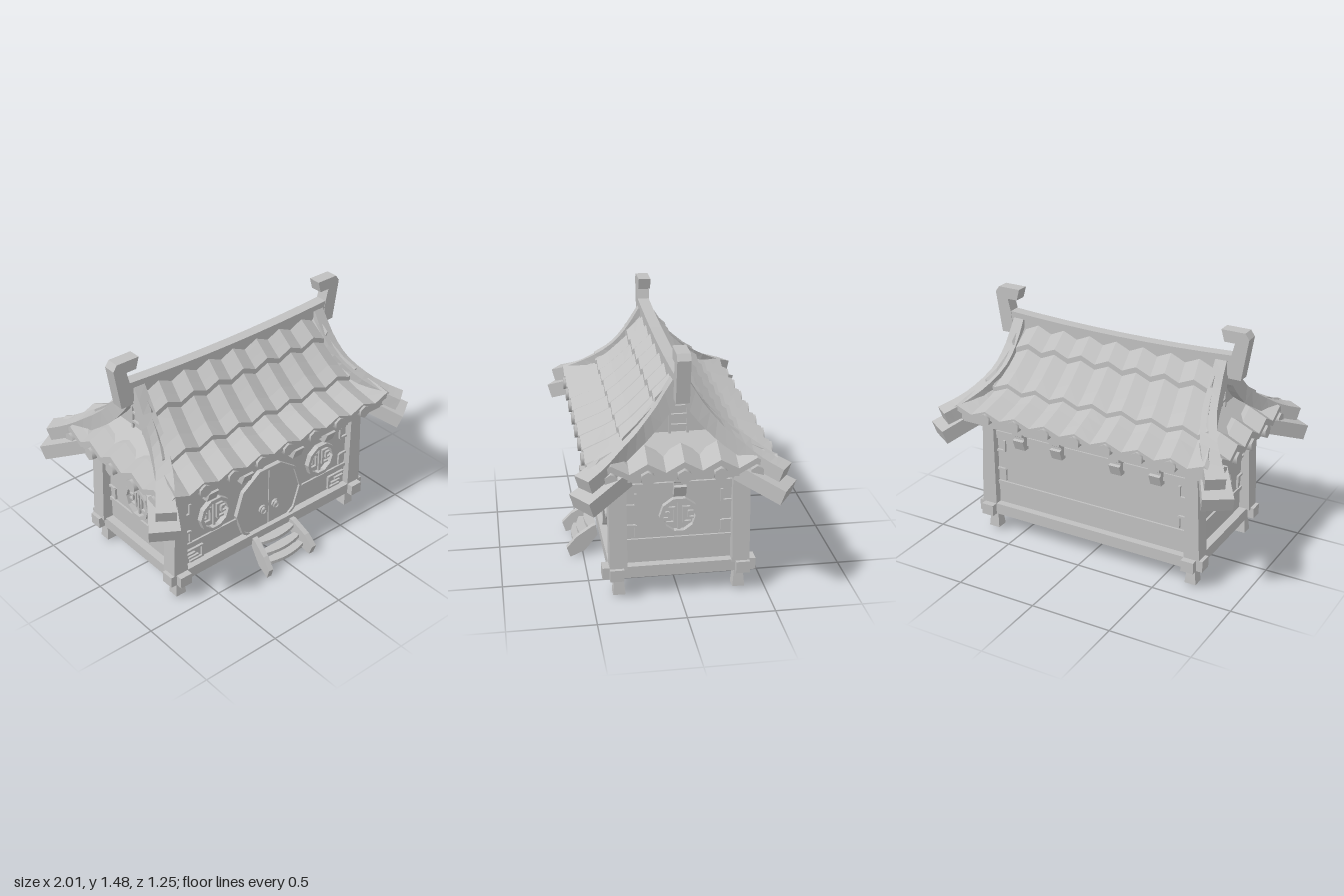
import * as THREE from 'three';

const gray = new THREE.MeshStandardMaterial({ color: 0xc0c0c0, side: THREE.DoubleSide });
gray.name = 'stone gray';

const V = (x, y, z) => new THREE.Vector3(x, y, z);
const lerp = THREE.MathUtils.lerp;

function add(parent, name, geometry, x = 0, y = 0, z = 0) {
  const mesh = new THREE.Mesh(geometry, gray);
  mesh.name = name;
  mesh.position.set(x, y, z);
  parent.add(mesh);
  return mesh;
}
const box = (parent, name, w, h, d, x, y, z) => add(parent, name, new THREE.BoxGeometry(w, h, d), x, y, z);

function group(parent, name, angle = 0) {
  const g = new THREE.Group();
  g.name = name;
  g.rotation.y = angle;
  parent.add(g);
  return g;
}

// Outline in x/y, extruded and centred on z
function prism(points, depth, holePoints) {
  const toV2 = (list) => list.map(([x, y]) => new THREE.Vector2(x, y));
  const shape = points instanceof THREE.Shape ? points : new THREE.Shape(toV2(points));
  if (holePoints) shape.holes.push(new THREE.Path(toV2(holePoints)));
  return new THREE.ExtrudeGeometry(shape, { depth, bevelEnabled: false, curveSegments: 8 }).translate(0, 0, -depth / 2);
}
const polygon = (r, n = 10) => Array.from({ length: n }, (_, i) => {
  const a = (i / n) * Math.PI * 2;
  return [r * Math.cos(a), r * Math.sin(a)];
});

// Faceted surface through rows of points
function grid(rows) {
  const n = rows[0].length, index = [];
  for (let i = 0; i < rows.length - 1; i++)
    for (let j = 0; j < n - 1; j++) {
      const a = i * n + j, b = a + n;
      index.push(a, b, b + 1, a, b + 1, a + 1);
    }
  const g = new THREE.BufferGeometry().setFromPoints(rows.flat());
  g.setIndex(index);
  const flat = g.toNonIndexed();
  flat.computeVertexNormals();
  return flat;
}

// Rectangular beam swept along a curve, growing from size a to size b
function sweep(points, [wa, ha], [wb, hb], steps) {
  const curve = new THREE.CatmullRomCurve3(points);
  const rows = [];
  for (let i = 0; i <= steps; i++) {
    const u = i / steps, p = curve.getPoint(u), t = curve.getTangent(u);
    const s = V(0, 1, 0).cross(t).normalize(), n = t.clone().cross(s);
    const w = lerp(wa, wb, u) / 2, h = lerp(ha, hb, u) / 2;
    rows.push([[-w, h], [w, h], [w, -h], [-w, -h], [-w, h]].map(([a, b]) =>
      p.clone().addScaledVector(s, a).addScaledVector(n, b)));
    if (i === 0 || i === steps) {
      const cap = Array(5).fill(p);
      if (i === 0) rows.unshift(cap); else rows.push(cap);
    }
  }
  return grid(rows);
}

// Overlapping rows of zigzag tiles; stops are [z, y] row borders on the slope
function tiles(parent, stops, pitch, count, limit, scale, amp) {
  const curve = new THREE.CatmullRomCurve3(stops.map(([z, y]) => V(0, y, z)));
  const n = stops.length - 1, steps = 3;
  for (let r = 0; r < n; r++) {
    const rows = [];
    for (let i = 0; i <= steps + 1; i++) {
      const u = Math.min(i / steps, 1), p = curve.getPoint((r + u) / n);
      const drop = i > steps ? 0.035 : 0, row = [];
      for (let k = -count; k <= count; k++) {
        const m = limit(p.z);
        const x = THREE.MathUtils.clamp(k * pitch * scale(p.z), -m, m);
        row.push(V(x, p.y + 0.022 * u - drop + (k % 2 ? -amp : amp), p.z + 0.012 * u));
      }
      rows.push(row);
    }
    add(parent, 'tileRow', grid(rows));
  }
}

// Hexagonal tile ends along an eave
function eaveCaps(parent, count, pitch, y, z) {
  for (let k = -count; k <= count; k++)
    add(parent, 'eaveCap', new THREE.CylinderGeometry(0.04, 0.04, 0.1, 6).rotateX(Math.PI / 2), k * pitch, y, z - 0.05);
}

// Decagonal window with a fretwork lattice
function roundWindow(parent, x, z) {
  const w = group(parent, 'roundWindow');
  w.position.set(x, 0.485, z);
  add(w, 'windowFrame', prism(polygon(0.114), 0.055, polygon(0.092)));
  box(w, 'windowBar', 0.016, 0.18, 0.02, 0, 0, 0);
  for (const s of [-1, 1]) {
    box(w, 'latticeUpright', 0.012, 0.09, 0.02, s * 0.026, 0, 0);
    for (const t of [-1, 1]) {
      box(w, 'latticeArm', 0.05, 0.012, 0.02, s * 0.045, t * 0.045, 0);
      box(w, 'latticeStub', 0.03, 0.01, 0.02, s * 0.07, t * 0.018, 0);
    }
    box(w, 'latticeEnd', 0.01, 0.036, 0.02, s * 0.056, 0, 0);
  }
}

// Wall facing +z with rails, corner frets and eave brackets
function wall(parent, name, angle, half, face, bracketXs) {
  const w = group(parent, name, angle);
  box(w, 'wallPanel', half * 2 + 0.04, 0.58, 0.02, 0, 0.465, face - 0.01);
  box(w, 'upperRail', half * 2, 0.05, 0.02, 0, 0.665, face + 0.006);
  box(w, 'lowerRail', half * 2, 0.024, 0.016, 0, 0.338, face + 0.004);
  for (const s of [-1, 1])
    for (const [y, d] of [[0.632, -1], [0.358, 1]]) {
      box(w, 'fretArm', 0.055, 0.014, 0.02, s * (half - 0.0275), y + d * 0.075, face + 0.004);
      box(w, 'fretUpright', 0.014, 0.075, 0.02, s * (half - 0.055), y + d * 0.04, face + 0.004);
    }
  const profile = [[-0.03, 0.615], [0.04, 0.615], [0.065, 0.68], [0.045, 0.685], [0.045, 0.7], [0.07, 0.715], [0.07, 0.78], [-0.03, 0.78]];
  for (const x of bracketXs)
    add(w, 'eaveBracket', prism(profile, 0.07).rotateY(-Math.PI / 2), x, 0, face);
  return w;
}

function buildDoor(parent, z) {
  const door = group(parent, 'door');
  door.position.set(0, 0.375, z);
  add(door, 'doorFrame', prism(polygon(0.26), 0.07, polygon(0.243)));
  const r = 0.243;
  for (const s of [-1, 1]) {
    const leaf = [72, 36, 0, -36, -72].map((a) => [s * r * Math.cos(a * Math.PI / 180), r * Math.sin(a * Math.PI / 180)]);
    leaf.unshift([s * 0.003, 0.951 * r]);
    leaf.push([s * 0.003, -0.951 * r]);
    add(door, 'doorLeaf', prism(leaf, 0.044));
    add(door, 'knockerPlate', new THREE.CylinderGeometry(0.028, 0.03, 0.014, 8).rotateX(Math.PI / 2), s * 0.05, -0.045, 0.026);
    add(door, 'knockerKnob', new THREE.SphereGeometry(0.013, 8, 6), s * 0.05, -0.037, 0.034);
    add(door, 'knockerRing', new THREE.TorusGeometry(0.019, 0.005, 5, 10), s * 0.05, -0.054, 0.038);
  }
}

function buildStairs(parent) {
  const stairs = group(parent, 'stairs');
  const side = [[0.42, 0.195], [0.44, 0.19], [0.54, 0.13], [0.6, 0.065], [0.58, 0.003], [0.49, 0.035], [0.435, 0.1], [0.41, 0.13]];
  for (const s of [-1, 1]) {
    const g = prism(side, 0.035).rotateY(-Math.PI / 2);
    const p = g.attributes.position;
    for (let i = 0; i < p.count; i++) p.setX(i, p.getX(i) + s * (0.15 + (p.getZ(i) - 0.42) * 0.14));
    g.computeVertexNormals();
    add(stairs, 'stairSide', g);
  }
  for (const [y, z] of [[0.155, 0.415], [0.1, 0.46], [0.055, 0.495]]) {
    const tread = new THREE.Shape().moveTo(-0.15, 0).lineTo(0.15, 0).lineTo(0.15, 0.035);
    tread.quadraticCurveTo(0, 0.09, -0.15, 0.035);
    add(stairs, 'stairTread', prism(tread, 0.022).rotateX(Math.PI / 2), 0, y, z);
  }
}

export function createModel() {
  const model = new THREE.Group();
  model.name = 'shrine';

  // Crossed base and top beams
  for (const s of [-1, 1]) {
    box(model, 'baseBeam', 1.54, 0.07, 0.08, 0, 0.165, s * 0.36);
    box(model, 'baseSideBeam', 0.08, 0.07, 0.88, s * 0.69, 0.164, 0);
    box(model, 'topBeam', 1.5, 0.06, 0.09, 0, 0.745, s * 0.36);
    box(model, 'topSideBeam', 0.09, 0.06, 0.81, s * 0.69, 0.745, 0);
  }

  // Walls
  const front = wall(model, 'frontWall', 0, 0.65, 0.355, [-0.46, -0.2, 0.2, 0.46]);
  wall(model, 'backWall', Math.PI, 0.65, 0.355, [-0.46, -0.2, 0.2, 0.46]);
  for (const s of [-1, 1]) {
    roundWindow(wall(model, 'sideWall', s * Math.PI / 2, 0.3, 0.68, [0]), 0, 0.685);
    roundWindow(front, s * 0.42, 0.36);
    // Fret panels beside the door
    for (const [w, h, x, y] of [[0.12, 0.012, 0.575, 0.295], [0.012, 0.09, 0.51, 0.255], [0.09, 0.012, 0.56, 0.215], [0.07, 0.012, 0.6, 0.265], [0.07, 0.012, 0.575, 0.24]])
      box(front, 'fretPanel', w, h, 0.02, s * x, y, 0.36);
  }
  buildDoor(front, 0.347);
  buildStairs(model);

  // Roof tiles on four slopes, with eave caps
  const hip = [[0.02, 0.66], [0.13, 0.67], [0.23, 0.7], [0.36, 0.77], [0.55, 0.9]];
  const hipX = (z) => {
    let i = 0;
    while (i < hip.length - 2 && z > hip[i + 1][0]) i++;
    return lerp(hip[i][1], hip[i + 1][1], (z - hip[i][0]) / (hip[i + 1][0] - hip[i][0]));
  };
  for (const s of [0, 1]) {
    const slope = group(model, 'mainSlope', s * Math.PI);
    tiles(slope, [[0.02, 1.27], [0.12, 1.145], [0.31, 0.948], [0.51, 0.838]], 0.1025, 9, hipX, (z) => 0.87 + 0.25 * z, 0.02);
    eaveCaps(slope, 3, 0.205, 0.829, 0.537);

    // Side skirt below the gable
    const end = group(model, 'sideSlope', Math.PI / 2 + s * Math.PI);
    add(end, 'skirtTop', grid([[V(-0.22, 0.98, 0.66), V(0.22, 0.98, 0.66)], [V(-0.38, 0.875, 0.77), V(0.38, 0.875, 0.77)]]));
    tiles(end, [[0.735, 0.915], [0.858, 0.835]], 0.1, 5, (x) => 0.34 + (x - 0.735) * 1.25, () => 1, 0.028);
    eaveCaps(end, 2, 0.2, 0.802, 0.883);

    // Gable wall with lattice
    add(end, 'gableWall', prism([[-0.27, 0.95], [0.27, 0.95], [0.12, 1.11], [0, 1.25], [-0.12, 1.11]], 0.03), 0, 0, 0.645);
    for (const t of [-1, 1]) box(end, 'gablePost', 0.014, 0.22, 0.02, t * 0.05, 1.085, 0.665);
    for (const y of [1.02, 1.08, 1.13, 1.175]) box(end, 'gableSlat', 0.1, 0.014, 0.02, 0, y, 0.665);
  }
  box(model, 'eaveBoard', 1.7, 0.055, 1.0, 0, 0.8025, 0);

  // Ridge beam with hooked ends
  const ridge = new THREE.Shape().moveTo(-0.75, 1.21).lineTo(0.75, 1.21).lineTo(0.75, 1.335);
  ridge.quadraticCurveTo(0, 1.285, -0.75, 1.335);
  add(model, 'ridgeBeam', prism(ridge, 0.07));
  const horn = [[0.84, 1.445], [0.815, 1.48], [0.67, 1.48], [0.69, 1.41], [0.755, 1.41], [0.735, 1.33], [0.72, 1.195], [0.8, 1.195]];
  for (const s of [-1, 1]) add(model, 'ridgeHorn', prism(horn.map(([x, y]) => [s * x, y]), 0.076));

  // Four corners: hip ridge, rafter, post and foot
  const hipRidge = sweep([V(0.675, 1.275, 0.005), V(0.68, 1.115, 0.11), V(0.7, 1.0, 0.22), V(0.765, 0.9, 0.36), V(0.84, 0.838, 0.465), V(0.9, 0.803, 0.55)], [0.07, 0.09], [0.115, 0.08], 12);
  const rafter = sweep([V(0.775, 0.79, 0.33), V(0.925, 0.692, 0.565)], [0.15, 0.09], [0.175, 0.09], 1);
  const post = sweep([V(0.698, 0.19, 0.35), V(0.685, 0.75, 0.35)], [0.1, 0.1], [0.1, 0.075], 1);
  const foot = new THREE.CylinderGeometry(0.034, 0.05, 0.12, 4, 1).rotateY(Math.PI / 4).toNonIndexed();
  foot.computeVertexNormals();
  for (const sx of [-1, 1])
    for (const sz of [-1, 1]) {
      const corner = group(model, 'corner');
      corner.scale.set(sx, 1, sz);
      add(corner, 'hipRidge', hipRidge);
      add(corner, 'hipRafter', rafter);
      add(corner, 'cornerPost', post);
      add(corner, 'foot', foot, 0.685, 0.08, 0.345);
    }
  return model;
}
